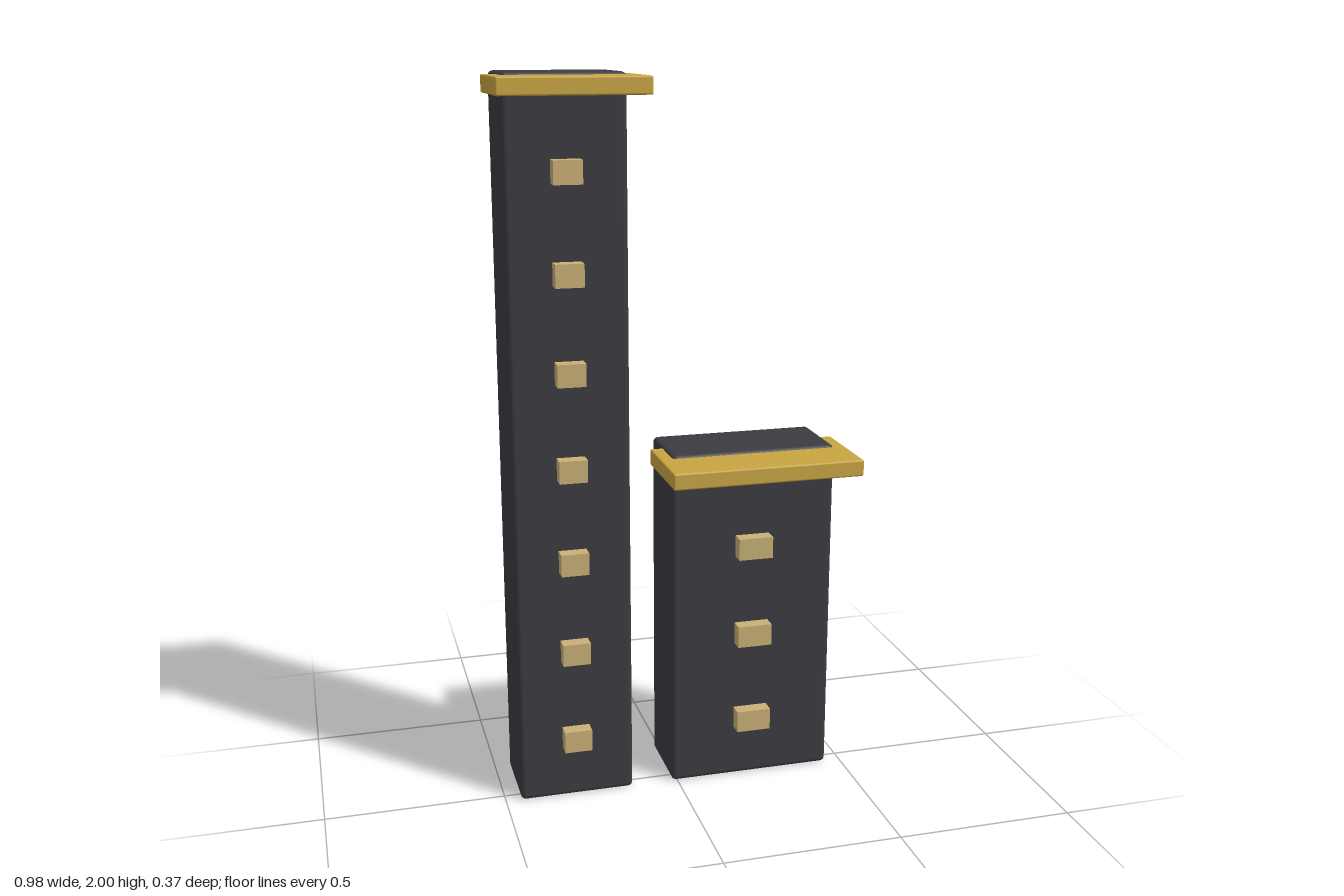
import * as THREE from 'three';
import { RoundedBoxGeometry } from 'three/addons/geometries/RoundedBoxGeometry.js';

const mat = (name, color) => {
  const m = new THREE.MeshStandardMaterial({ color });
  m.name = name;
  return m;
};

// Box given by its min/max corners, with optionally rounded edges
function block(name, material, [x0, x1], [y0, y1], [z0, z1], radius = 0) {
  const size = [x1 - x0, y1 - y0, z1 - z0];
  const geometry = radius
    ? new RoundedBoxGeometry(...size, 3, radius)
    : new THREE.BoxGeometry(...size);
  const mesh = new THREE.Mesh(geometry, material);
  mesh.name = name;
  mesh.position.set((x0 + x1) / 2, (y0 + y1) / 2, (z0 + z1) / 2);
  return mesh;
}

export function createModel() {
  const charcoal = mat('charcoal', 0x3c3b41);
  const gold = mat('gold', 0xc9a543);
  const paleGold = mat('paleGold', 0xc9b076);

  const model = new THREE.Group();
  model.name = 'twinTowers';

  const towers = [
    { name: 'tallTower', x: [-0.457, -0.133], height: 2, windowX: [-0.336, -0.259], floors: 7 },
    { name: 'shortTower', x: [-0.016, 0.455], height: 0.98, windowX: [0.167, 0.265], floors: 3 },
  ];

  for (const { name, x, height, windowX, floors } of towers) {
    const tower = new THREE.Group();
    tower.name = name;

    // Main body with softened edges
    tower.add(block('body', charcoal, x, [0, height], [-0.183, 0.041], 0.014));

    // Canopy slab wrapping the front of the top
    tower.add(block('canopy', gold, [x[0] - 0.033, x[1] + 0.033],
      [height - 0.053, height - 0.007], [-0.077, 0.183], 0.005));

    // Column of projecting windows
    for (let i = 0; i < floors; i++) {
      const y = 0.183 + i * 0.262;
      tower.add(block('window', paleGold, windowX, [y - 0.031, y + 0.031], [0.02, 0.081]));
    }
    model.add(tower);
  }
  return model;
}
